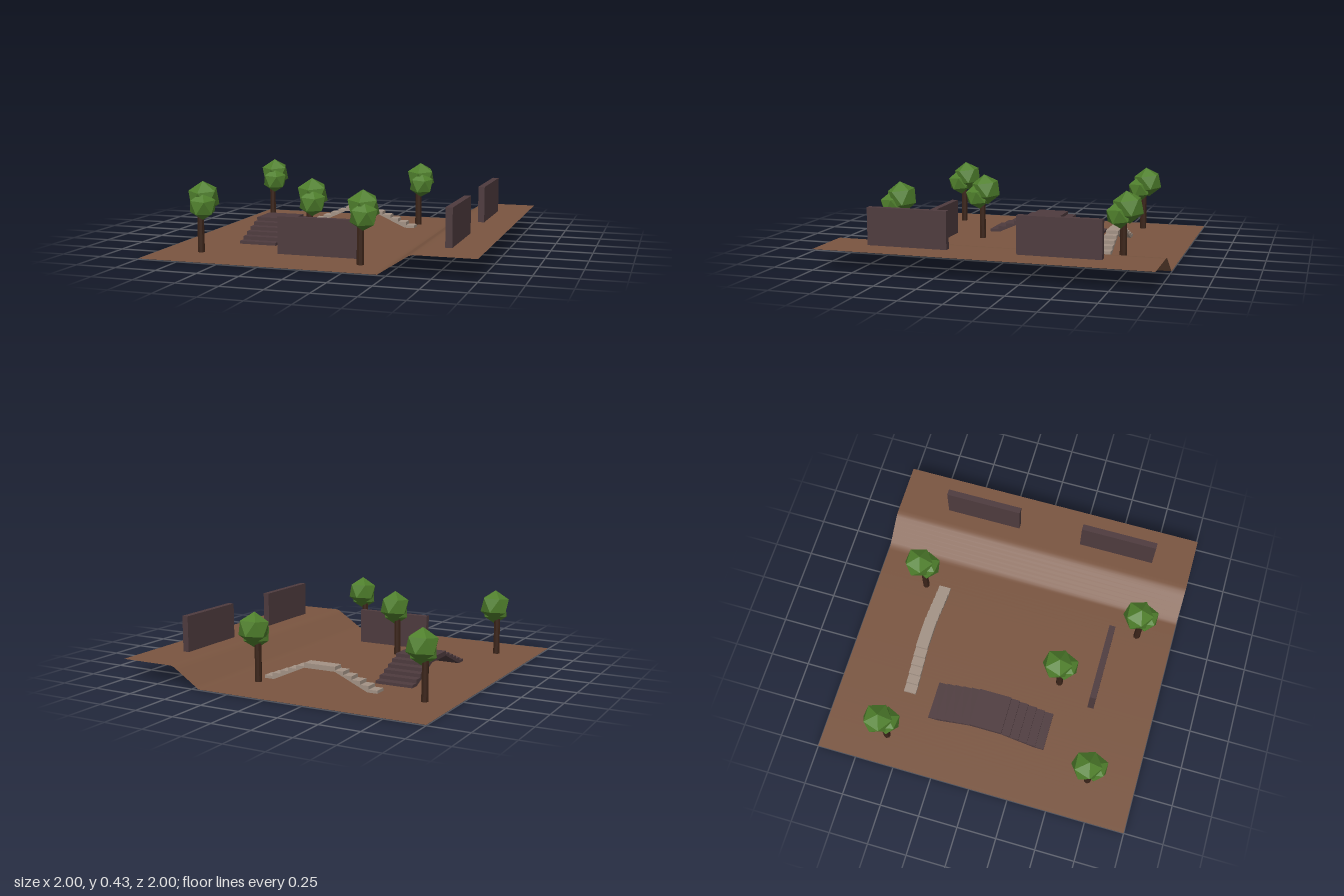
import * as THREE from 'three';

const mat = (name, color, side = THREE.FrontSide, flatShading = true) => {
  const m = new THREE.MeshStandardMaterial({ color, side, flatShading });
  m.name = name;
  return m;
};

export function createModel() {
  const root = new THREE.Group();
  const earth = mat('earth', 0x7a5540, THREE.DoubleSide, false);
  const darkStone = mat('darkStone', 0x4e3b3e);
  const paleStone = mat('paleStone', 0xa39285);
  const bark = mat('bark', 0x3b2419);
  const leaf = mat('leaf', 0x4f7f2c);

  const add = (parent, name, geo, material, x = 0, y = 0, z = 0) => {
    const mesh = new THREE.Mesh(geo, material);
    mesh.name = name;
    mesh.position.set(x, y, z);
    parent.add(mesh);
    return mesh;
  };

  // Thin ground sheet, rising to a terrace on the left
  const ground = new THREE.PlaneGeometry(2, 2, 80, 1).rotateX(-Math.PI / 2);
  const pos = ground.attributes.position;
  for (let i = 0; i < pos.count; i++) {
    const t = THREE.MathUtils.clamp((pos.getX(i) - 0.45) / 0.185, 0, 1);
    pos.setY(i, 0.004 + 0.12 * t);
  }
  ground.computeVertexNormals();
  add(root, 'ground', ground, earth);

  // Upright wall slabs: one on the low ground, two on the terrace
  const wall = (name, w, d, x, y, z) =>
    add(root, name, new THREE.BoxGeometry(w, 0.23, d), darkStone, x, y + 0.115, z);
  wall('frontWall', 0.5, 0.04, -0.03, 0, 0.6);
  wall('terraceWallFront', 0.04, 0.495, 0.785, 0.12, 0.493);
  wall('terraceWallBack', 0.04, 0.495, 0.785, 0.12, -0.423);

  // Stepped bridge: stairs up, a landing, stairs down, with a sloping underside
  const bridge = (width) => {
    const half = 0.383, landing = 0.104, n = 5;
    const run = (half - landing) / n, rise = 0.13 / (n + 1);
    const s = new THREE.Shape();
    s.moveTo(-half, 0);
    for (let i = 0; i < n + 1; i++) {
      const u = -half + i * run;
      s.lineTo(u, (i + 1) * rise);
      s.lineTo(i < n ? u + run : landing, (i + 1) * rise);
    }
    for (let i = n - 1; i >= 0; i--) {
      const u = half - (i + 1) * run;
      s.lineTo(u, (i + 1) * rise);
      s.lineTo(u + run, (i + 1) * rise);
    }
    s.lineTo(half, 0);
    s.lineTo(half - run, 0);
    s.lineTo(landing, 0.1);
    s.lineTo(-landing, 0.1);
    s.lineTo(-half + run, 0);
    s.closePath();
    return new THREE.ExtrudeGeometry(s, { depth: width, bevelEnabled: false })
      .translate(0, 0, -width / 2);
  };
  add(root, 'wideBridge', bridge(0.242).rotateY(-Math.PI / 2), darkStone, -0.51, 0, 0);
  add(root, 'narrowBridge', bridge(0.078), paleStone, -0.123, 0, -0.548);

  // Trees: a trunk and two overlapping faceted crowns
  const trunk = new THREE.CylinderGeometry(0.02, 0.022, 0.27, 8).translate(0, 0.135, 0);
  const crown = (r) => new THREE.IcosahedronGeometry(r, 0).rotateZ(0.5536).rotateY(0.35).rotateX(0.12);
  const bigCrown = crown(0.1);
  const smallCrown = crown(0.087).rotateY(0.5);
  const spots = [[-0.81, -0.6], [0.247, -0.675], [-0.17, 0.363], [-0.74, 0.7], [0.283, 0.768]];
  for (const [x, z] of spots) {
    const tree = new THREE.Group();
    tree.name = 'tree';
    tree.position.set(x, 0, z);
    add(tree, 'trunk', trunk, bark);
    add(tree, 'upperCrown', bigCrown, leaf, 0.01, 0.332, -0.028);
    add(tree, 'lowerCrown', smallCrown, leaf, 0.025, 0.287, 0.022);
    root.add(tree);
  }
  return root;
}
